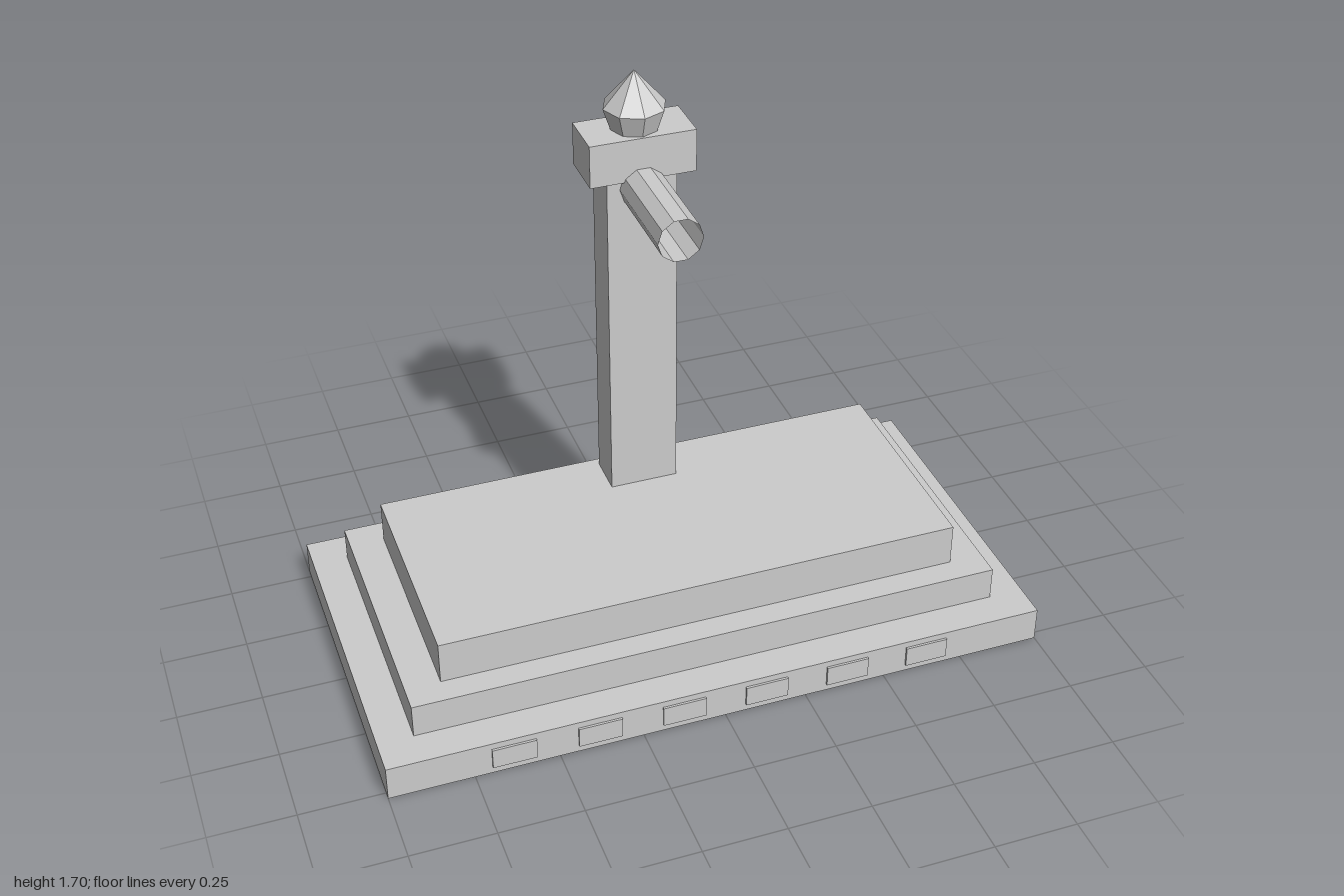
import * as THREE from 'three';

export function createModel() {
  const model = new THREE.Group();
  model.name = 'pillarMonument';

  const stone = new THREE.MeshStandardMaterial({ color: 0xcccccc, flatShading: true, side: THREE.DoubleSide });
  stone.name = 'paleStone';

  const add = (name, geometry, x = 0, y = 0, z = 0) => {
    const mesh = new THREE.Mesh(geometry, stone);
    mesh.name = name;
    mesh.position.set(x, y, z);
    model.add(mesh);
    return mesh;
  };

  // Box from its half width, bottom, top, back and front
  const block = (name, halfX, y0, y1, z0, z1, x = 0) =>
    add(name, new THREE.BoxGeometry(halfX * 2, y1 - y0, z1 - z0), x, (y0 + y1) / 2, (z0 + z1) / 2);

  // Stepped base
  block('lowerStep', 1, 0, 0.108, -0.526, 0.523);
  block('middleStep', 0.894, 0.108, 0.213, -0.422, 0.418);
  block('upperStep', 0.79, 0.213, 0.345, -0.342, 0.341);

  // Row of thin plates along the front of the lowest step
  for (let i = 0; i < 6; i++) {
    block('frontPlate', 0.065, 0.023, 0.088, 0.522, 0.53, (i - 2.5) * 0.2535);
  }

  // Column and its capital
  block('column', 0.104, 0.345, 1.4, -0.315, -0.189);
  block('capital', 0.157, 1.4, 1.53, -0.329, -0.175);

  // Open ten-sided spout, with corners to the left and right
  const spout = new THREE.CylinderGeometry(0.066, 0.066, 0.32, 10, 1, true);
  spout.rotateY(Math.PI / 2).rotateX(Math.PI / 2);
  add('spout', spout, 0, 1.372, -0.03);

  // Faceted finial
  add('finialBase', new THREE.CylinderGeometry(0.092, 0.07, 0.067, 8), 0, 1.5625, -0.252);
  add('finialPoint', new THREE.ConeGeometry(0.092, 0.107, 8), 0, 1.6495, -0.252);

  return model;
}
